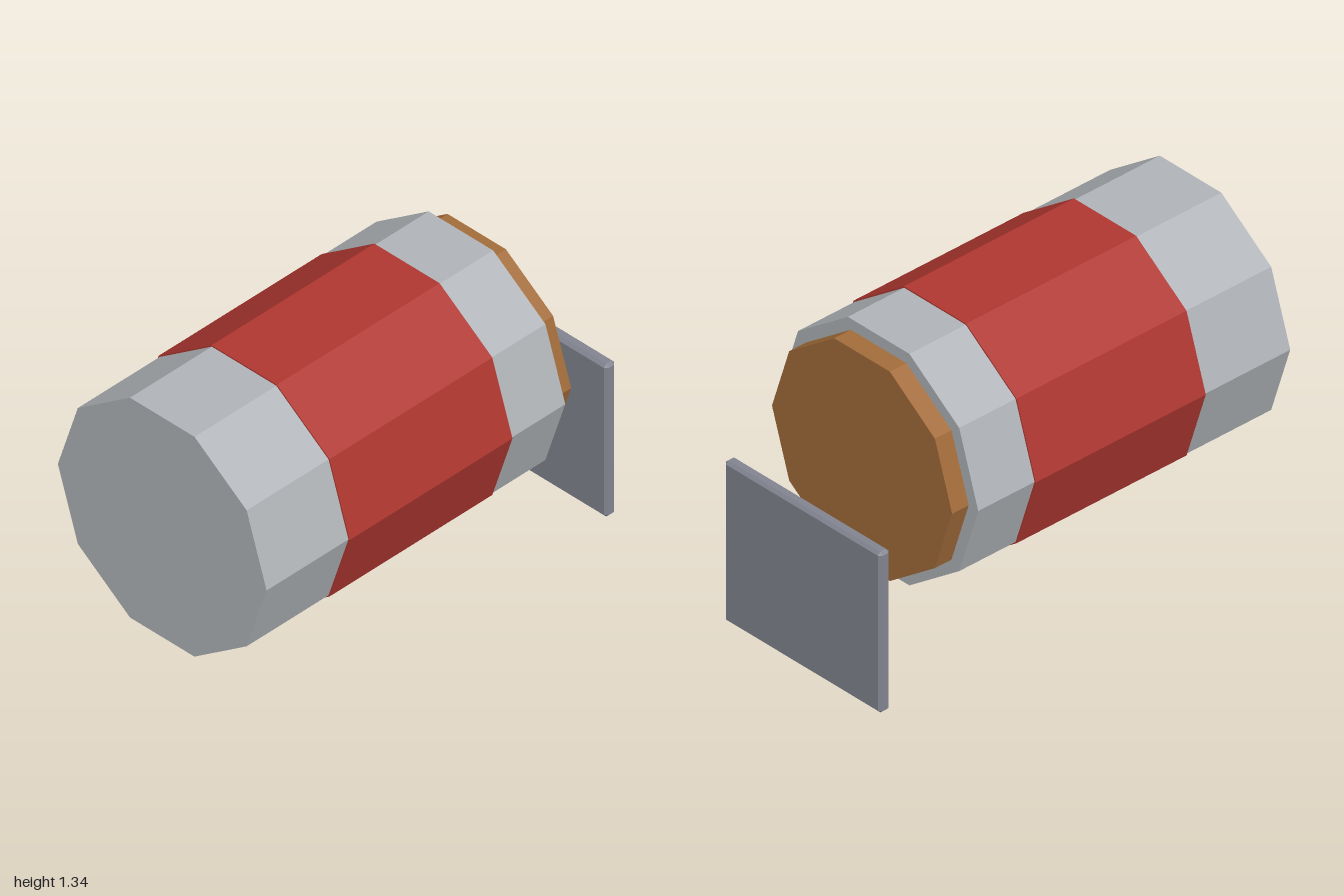
import * as THREE from 'three';
import { ConvexGeometry } from 'three/addons/geometries/ConvexGeometry.js';

const material = (name, color) => {
  const m = new THREE.MeshStandardMaterial({ color });
  m.name = name;
  m.flatShading = true;
  return m;
};

// Ten-sided drum along z, with corners at the left and right
function drum(name, radius, zBack, zFront, mat) {
  const geo = new THREE.CylinderGeometry(radius, radius, zFront - zBack, 10, 1, false, Math.PI / 2);
  geo.rotateX(Math.PI / 2);
  const mesh = new THREE.Mesh(geo, mat);
  mesh.name = name;
  mesh.position.set(0, 0.805, (zBack + zFront) / 2);
  return mesh;
}

// Box with every edge chamfered by c
function chamferedBox(w, h, d, c) {
  const half = [w / 2, h / 2, d / 2];
  const points = [];
  for (const sx of [-1, 1]) for (const sy of [-1, 1]) for (const sz of [-1, 1]) {
    for (let axis = 0; axis < 3; axis++) {
      const p = half.map((v, i) => (i === axis ? v : v - c));
      points.push(new THREE.Vector3(sx * p[0], sy * p[1], sz * p[2]));
    }
  }
  return new ConvexGeometry(points);
}

export function createModel() {
  const grey = material('light grey', 0xb0b4b8);
  const red = material('red', 0xae3730);
  const brown = material('brown', 0xa26c3a);
  const slate = material('slate grey', 0x828590);

  const model = new THREE.Group();
  model.name = 'bandedDrum';

  // Drum body, its wide band and the rear cap
  model.add(drum('body', 0.553, -0.605, 1, grey));
  model.add(drum('band', 0.559, -0.315, 0.56, red));
  model.add(drum('rearCap', 0.5, -0.69, -0.6, brown));

  // Upright plate standing behind the drum
  const plate = new THREE.Mesh(chamferedBox(0.87, 0.73, 0.055, 0.013), slate);
  plate.name = 'rearPlate';
  plate.position.set(0, 0.365, -0.9725);
  model.add(plate);

  return model;
}
